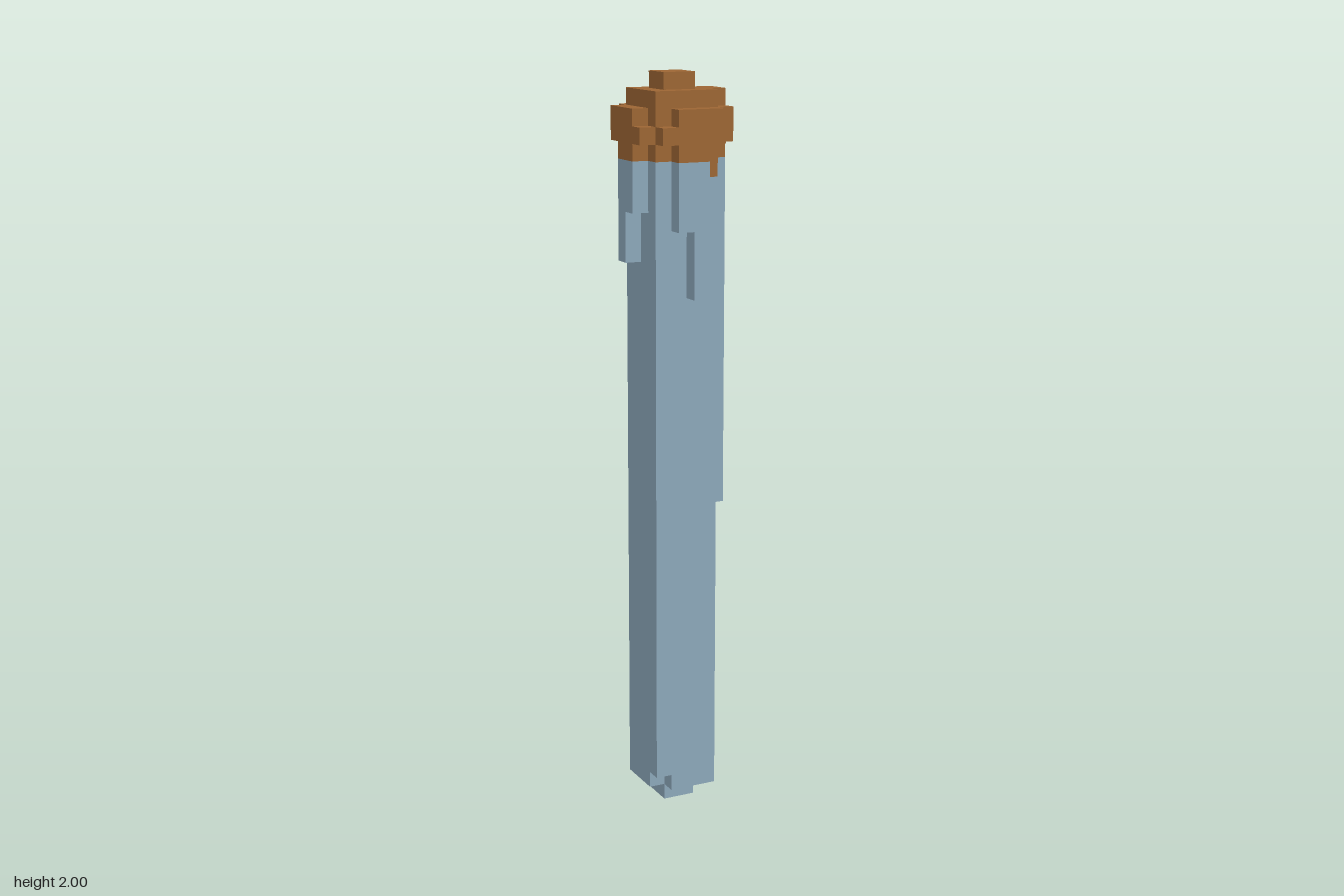
import * as THREE from 'three';

const U = 2 / 45; // one block

export function createModel() {
  const model = new THREE.Group();
  model.name = 'cappedPost';
  const paleBlue = new THREE.MeshStandardMaterial({ color: 0x8fabbe });
  paleBlue.name = 'paleBlue';
  const brown = new THREE.MeshStandardMaterial({ color: 0xa06835 });
  brown.name = 'brown';

  // Box between two corners, measured in blocks
  function block(name, material, [x0, x1], [y0, y1], [z0, z1]) {
    const geometry = new THREE.BoxGeometry((x1 - x0) * U, (y1 - y0) * U, (z1 - z0) * U);
    const mesh = new THREE.Mesh(geometry, material);
    mesh.name = name;
    mesh.position.set((x0 + x1) / 2 * U, (y0 + y1) / 2 * U, (z0 + z1) / 2 * U);
    model.add(mesh);
  }

  // Shaft, with a foot and one chipped bottom corner
  block('foot', paleBlue, [-1, 1], [0, 1], [-1, 1]);
  block('shaftBase', paleBlue, [-1, 2], [1, 2], [-2, 2]);
  block('shaftBaseSide', paleBlue, [-2, -1], [1, 2], [-2, 1]);
  block('shaft', paleBlue, [-2, 2], [2, 39], [-2, 2]);

  // Top course of the shaft, where the cap runs down three corners
  block('shaftTop', paleBlue, [-1, 1], [39, 40], [-2, 2]);
  block('shaftTopRight', paleBlue, [-2, -1], [39, 40], [-1, 2]);
  block('shaftTopLeft', paleBlue, [1, 2], [39, 40], [-1, 1]);
  for (const [x, z] of [[1, 1], [1, -2], [-2, -2]]) {
    block('capCorner', brown, [x, x + 1], [39, 40], [z, z + 1]);
  }

  // Cap core and knob
  block('cap', brown, [-2, 2], [40, 44], [-2, 2]);
  block('capKnob', brown, [-1, 1], [44, 45], [-1, 1]);

  // Columns on each side: [start along the side, bottom, top]
  const sides = {
    front: [[-2, 41, 42], [-1, 36, 43], [0, 32, 43], [1, 41, 43]],
    back: [[-2, 41, 43], [-1, 21, 43], [0, 17, 44], [1, 40, 43]],
    left: [[-2, 40, 43], [-1, 16, 44], [0, 19, 44], [1, 41, 43]],
    right: [[-2, 41, 43], [-1, 34, 43], [0, 37, 43], [1, 41, 42]],
  };
  for (const [side, columns] of Object.entries(sides)) {
    const out = side === 'front' || side === 'left' ? [2, 3] : [-3, -2];
    const alongX = side === 'front' || side === 'back';
    for (const [start, bottom, top] of columns) {
      const along = [start, start + 1];
      const x = alongX ? along : out;
      const z = alongX ? out : along;
      block(side + 'CapRim', brown, x, [Math.max(bottom, 40), top], z);
      if (bottom < 40) block(side + 'Strip', paleBlue, x, [bottom, 40], z);
    }
  }
  return model;
}
